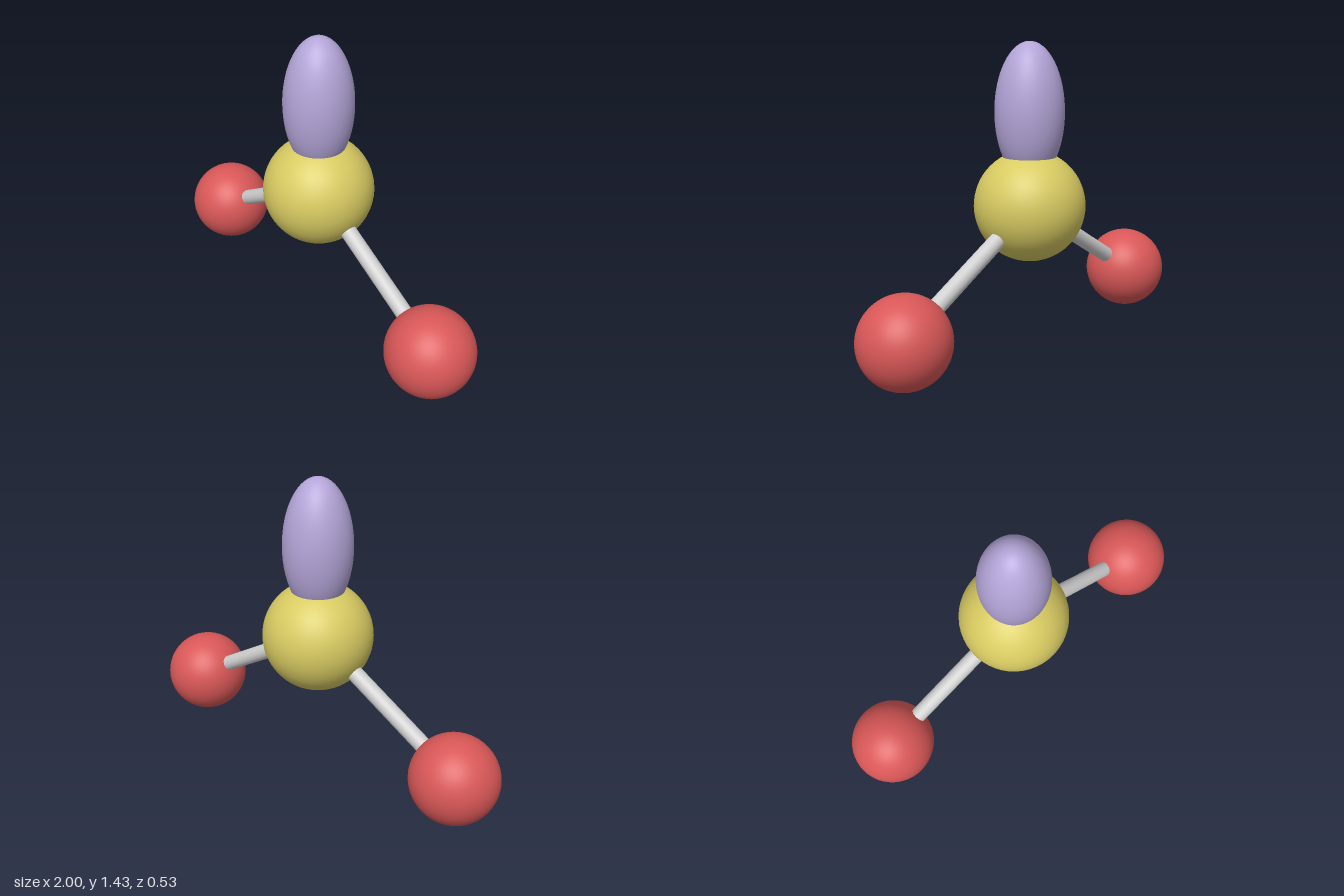
import * as THREE from 'three';

const paint = (name, color) => {
  const m = new THREE.MeshStandardMaterial({ color });
  m.name = name;
  return m;
};

export function createModel() {
  const model = new THREE.Group();
  model.name = 'bentMolecule';
  const yellow = paint('yellow', 0xd8cb62);
  const red = paint('red', 0xd95757);
  const lilac = paint('lilac', 0xb4a5d8);
  const grey = paint('lightGrey', 0xcfcfcf);

  const ball = (name, radius, center, material) => {
    const mesh = new THREE.Mesh(new THREE.SphereGeometry(radius, 48, 32), material);
    mesh.name = name;
    mesh.position.copy(center);
    model.add(mesh);
    return mesh;
  };

  // Central atom with the lone pair lobe standing on it
  const center = new THREE.Vector3(0, 0.667, 0);
  ball('centralAtom', 0.264, center, yellow);
  ball('lonePairLobe', 1, new THREE.Vector3(0, 1.107, 0), lilac).scale.set(0.164, 0.326, 0.164);

  // Mirrored outer atoms, each joined to the centre by a rod
  for (const [side, s] of [['left', 1], ['right', -1]]) {
    const end = new THREE.Vector3(s * 0.794, 0.206, 0);
    ball(side + 'OuterAtom', 0.206, end, red);

    const axis = end.clone().sub(center);
    const bond = new THREE.Mesh(new THREE.CylinderGeometry(0.039, 0.039, axis.length(), 24), grey);
    bond.name = side + 'Bond';
    bond.position.copy(center).add(end).multiplyScalar(0.5);
    bond.quaternion.setFromUnitVectors(new THREE.Vector3(0, 1, 0), axis.normalize());
    model.add(bond);
  }
  return model;
}
